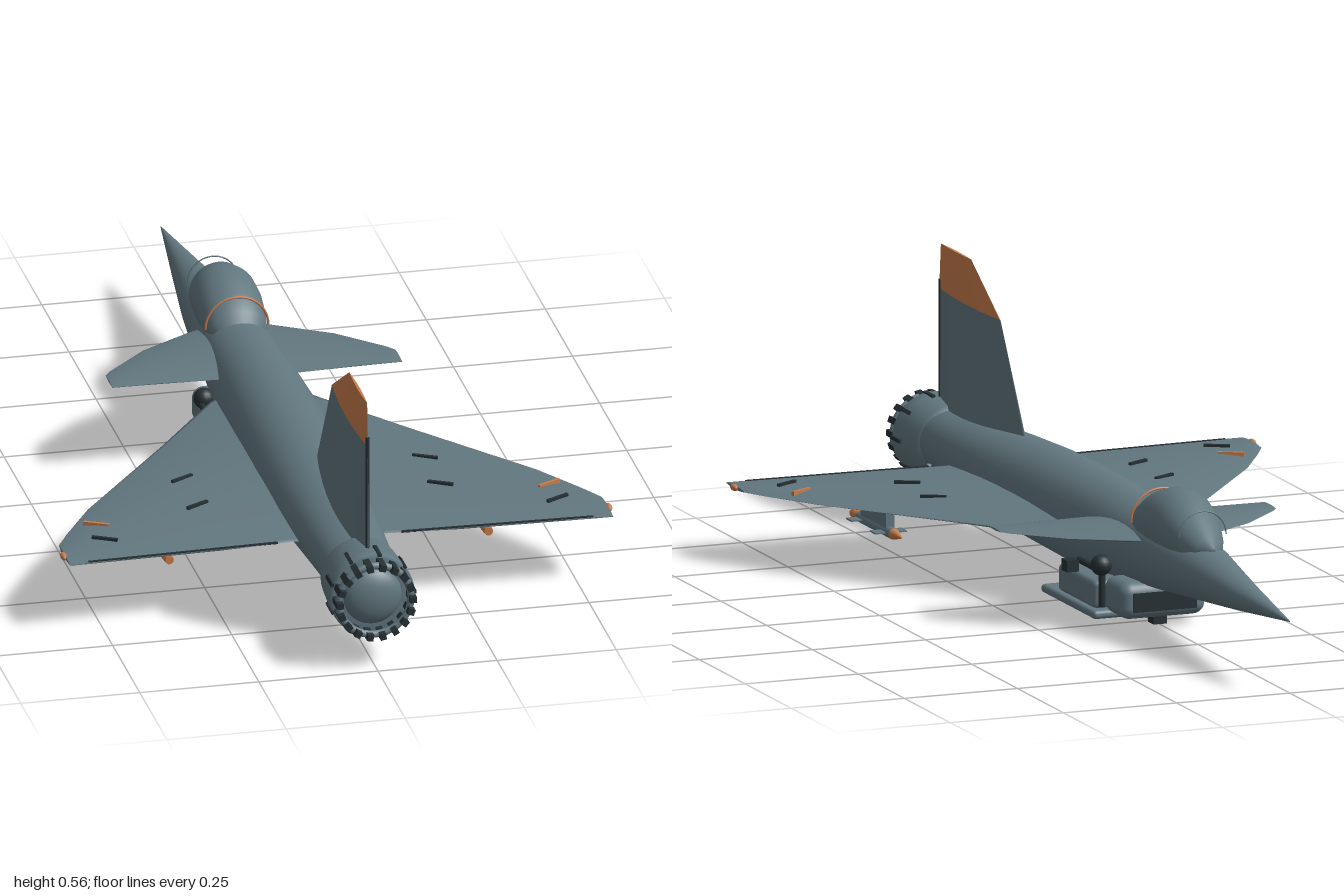
import * as THREE from 'three';
import { RoundedBoxGeometry } from 'three/addons/geometries/RoundedBoxGeometry.js';

const paint = (name, color) => {
  const m = new THREE.MeshStandardMaterial({ color });
  m.name = name;
  return m;
};

// Skin a list of closed rings of points, with flat end caps
function skin(rings) {
  const n = rings[0].length, pos = [], idx = [];
  rings.forEach(r => r.forEach(p => pos.push(...p)));
  for (let i = 0; i < rings.length - 1; i++)
    for (let j = 0; j < n; j++) {
      const a = i * n + j, b = i * n + (j + 1) % n;
      idx.push(a, b, b + n, a, b + n, a + n);
    }
  [rings[0], rings[rings.length - 1]].forEach((r, end) => {
    const base = pos.length / 3;
    r.forEach(p => pos.push(...p));
    for (let j = 1; j < n - 1; j++)
      idx.push(base, base + (end ? j : j + 1), base + (end ? j + 1 : j));
  });
  // Turn the faces outward if the rings ran the other way
  const v = i => new THREE.Vector3(pos[i * 3], pos[i * 3 + 1], pos[i * 3 + 2]);
  let volume = 0;
  for (let i = 0; i < idx.length; i += 3)
    volume += v(idx[i]).dot(v(idx[i + 1]).cross(v(idx[i + 2])));
  if (volume < 0) idx.reverse();
  const g = new THREE.BufferGeometry();
  g.setAttribute('position', new THREE.Float32BufferAttribute(pos, 3));
  g.setIndex(idx);
  g.computeVertexNormals();
  return g;
}

// Lens section: chord from a to b along z, thickness up and down
const lens = (a, b, up, down, n = 24) => Array.from({ length: n }, (_, i) => {
  const t = i / n * Math.PI * 2, s = Math.sin(t);
  return [(a + b) / 2 + (b - a) / 2 * Math.cos(t), s * Math.abs(s) * (s > 0 ? up : down)];
});

export function createModel() {
  const model = new THREE.Group();
  model.name = 'jet';
  const grey = paint('slate grey', 0x62777f);
  const orange = paint('burnt orange', 0xc87c4c);
  const dark = paint('dark metal', 0x263034);

  const add = (name, geo, mat, x = 0, y = 0, z = 0, parent = model) => {
    const m = new THREE.Mesh(geo, mat);
    m.name = name;
    m.position.set(x, y, z);
    parent.add(m);
    return m;
  };
  const rod = (r1, r2, len, sides = 20) => new THREE.CylinderGeometry(r1, r2, len, sides).rotateX(Math.PI / 2);

  // Fuselage and canopy: rows of z, half width, bottom, top
  const body = rows => skin(rows.map(([z, w, y0, y1]) => Array.from({ length: 40 }, (_, i) => {
    const t = i / 40 * Math.PI * 2;
    return [w * Math.cos(t), (y0 + y1) / 2 + (y1 - y0) / 2 * Math.sin(t), z];
  })));
  add('fuselage', body([
    [-1, 0.001, 0.154, 0.156], [-0.75, 0.034, 0.126, 0.19], [-0.55, 0.06, 0.107, 0.222],
    [-0.35, 0.078, 0.088, 0.243], [-0.1, 0.09, 0.065, 0.257], [0.1, 0.098, 0.053, 0.26],
    [0.3, 0.1, 0.056, 0.257], [0.5, 0.095, 0.074, 0.246], [0.7, 0.083, 0.09, 0.233],
    [0.85, 0.074, 0.1, 0.225]]), grey);
  add('canopy', body([
    [-0.585, 0.004, 0.205, 0.222], [-0.56, 0.03, 0.18, 0.24], [-0.52, 0.048, 0.17, 0.268],
    [-0.47, 0.062, 0.17, 0.3], [-0.42, 0.069, 0.17, 0.314], [-0.37, 0.07, 0.17, 0.309],
    [-0.32, 0.066, 0.17, 0.293], [-0.28, 0.058, 0.18, 0.268], [-0.265, 0.04, 0.19, 0.245]]), grey);

  // Canopy hoops
  add('rearCanopyFrame', new THREE.TorusGeometry(0.066, 0.0025, 6, 32, Math.PI), orange, 0, 0.226, -0.3);
  add('windshieldHoop', new THREE.TorusGeometry(0.052, 0.0015, 6, 32, Math.PI), grey, 0, 0.237, -0.525);

  // Wings and foreplanes: rows of x, leading z, trailing z, up, down
  const panel = (side, y, rows) => skin(rows.map(([x, a, b, up, down]) =>
    lens(a, b, up, down).map(([z, h]) => [side * x, y + h, z])));
  for (const side of [1, -1]) {
    const label = side > 0 ? 'left' : 'right';
    add(label + 'Wing', panel(side, 0.154, [
      [0.05, -0.14, 0.648, 0.022, 0.044], [0.1, -0.1, 0.646, 0.02, 0.04],
      [0.25, 0.105, 0.658, 0.016, 0.027], [0.47, 0.39, 0.664, 0.009, 0.012],
      [0.54, 0.505, 0.666, 0.006, 0.007], [0.57, 0.56, 0.666, 0.004, 0.004]]), grey);
    add(label + 'Foreplane', panel(side, 0.199, [
      [0.04, -0.38, -0.1, 0.017, 0.02], [0.08, -0.36, -0.103, 0.015, 0.018],
      [0.2, -0.285, -0.108, 0.009, 0.01], [0.29, -0.195, -0.11, 0.004, 0.004],
      [0.304, -0.175, -0.11, 0.002, 0.002]]), grey);
    add(label + 'TipLight', new THREE.SphereGeometry(0.007, 12, 8), orange, side * 0.572, 0.154, 0.615).scale.z = 2.2;

    // Vortex strips on the upper skin
    for (const [x, y, z, mat] of [[0.255, 0.169, 0.313, dark], [0.255, 0.17, 0.455, dark],
      [0.475, 0.163, 0.568, dark], [0.475, 0.163, 0.49, orange]]) {
      const s = add(label + 'WingStrip', new THREE.BoxGeometry(0.054, 0.009, 0.007), mat, side * x, y, z);
      s.rotation.y = side * (x > 0.4 ? 0.5 : -0.5);
    }
    // Flap hinge line
    const hinge = add(label + 'FlapHinge', new THREE.BoxGeometry(0.4, 0.004, 0.005), dark, side * 0.33, 0.155, 0.652);
    hinge.rotation.y = -side * 0.03;

    // Missile on a pylon
    const missile = new THREE.Group();
    missile.name = label + 'Missile';
    missile.position.set(side * 0.335, 0.095, 0.42);
    model.add(missile);
    add('missileBody', rod(0.012, 0.012, 0.18), grey, 0, 0, 0, missile);
    add('missileNose', rod(0.012, 0.002, 0.04), orange, 0, 0, -0.11, missile);
    add('missileTail', rod(0.009, 0.012, 0.04), orange, 0, 0, 0.11, missile);
    for (const z of [-0.06, 0.07])
      add('missileFin', new THREE.BoxGeometry(0.07, 0.003, 0.03), grey, 0, 0, z, missile);
    add('pylon', new THREE.BoxGeometry(0.018, 0.045, 0.14), grey, 0, 0.03, 0, missile);

    // Foreplane pivot and strut beside the intake
    add(label + 'Pivot', new THREE.SphereGeometry(0.022, 16, 12), dark, side * 0.092, 0.118, -0.2);
    add(label + 'PivotArm', rod(0.007, 0.007, 0.1, 10), dark, side * 0.1, 0.11, -0.15);
    add(label + 'Strut', new THREE.CylinderGeometry(0.007, 0.007, 0.09, 10), dark, side * 0.09, 0.075, -0.2);
    add(label + 'ArmBracket', new THREE.BoxGeometry(0.026, 0.024, 0.03), dark, side * 0.12, 0.1, -0.1);
  }

  // Tail fin in two paints: rows of y, leading z, trailing z, half thickness
  const fin = rows => skin(rows.map(([y, a, b, h]) => lens(a, b, h, h).map(([z, x]) => [x, y, z])));
  add('tailFin', fin([[0.2, 0.41, 0.912, 0.024], [0.25, 0.44, 0.912, 0.02], [0.465, 0.575, 0.909, 0.009]]), grey);
  add('tailFinTip', fin([[0.465, 0.575, 0.909, 0.009], [0.56, 0.735, 0.9, 0.003]]), orange);
  add('rudderPost', new THREE.CylinderGeometry(0.004, 0.004, 0.25, 8), dark, 0, 0.36, 0.903);

  // Engine nozzle
  const nozzle = new THREE.Group();
  nozzle.name = 'nozzle';
  nozzle.position.set(0, 0.152, 0);
  model.add(nozzle);
  const profile = [[0.07, 0.825], [0.083, 0.835], [0.089, 0.92], [0.089, 0.945], [0.083, 0.95], [0.06, 0.95]];
  add('collar', new THREE.LatheGeometry(profile.map(([r, z]) => new THREE.Vector2(r, z)), 40).rotateX(Math.PI / 2),
    new THREE.MeshStandardMaterial().copy(grey), 0, 0, 0, nozzle).material = grey;
  add('exhaustRing', new THREE.TorusGeometry(0.076, 0.008, 8, 40), grey, 0, 0, 0.972, nozzle);
  add('exhaustDome', new THREE.SphereGeometry(0.062, 32, 16), grey, 0, 0, 0.945, nozzle).scale.z = 0.5;
  for (let i = 0; i < 18; i++) {
    const t = i / 18 * Math.PI * 2;
    const petal = add('petal', new THREE.BoxGeometry(0.014, 0.013, 0.06), dark,
      0.077 * Math.cos(t), 0.077 * Math.sin(t), 0.962, nozzle);
    petal.rotation.z = t;
    if (i % 2 === 0) {
      const link = add('nozzleLink', new THREE.BoxGeometry(0.006, 0.008, 0.05), dark,
        0.089 * Math.cos(t), 0.089 * Math.sin(t), 0.925, nozzle);
      link.rotation.z = t;
    }
  }

  // Belly intake
  add('intakeDuct', new RoundedBoxGeometry(0.2, 0.06, 0.2, 3, 0.012), grey, 0, 0.05, -0.08);
  add('intakeFloor', new RoundedBoxGeometry(0.222, 0.018, 0.29, 3, 0.008), grey, 0, 0.014, -0.06);
  add('intakeLip', new RoundedBoxGeometry(0.19, 0.078, 0.11, 4, 0.025), grey, 0, 0.062, -0.265);
  add('intakeMouth', new THREE.BoxGeometry(0.14, 0.04, 0.006), dark, 0, 0.06, -0.319);
  add('bellySkid', new THREE.BoxGeometry(0.03, 0.02, 0.03), dark, 0, 0.016, -0.28);
  return model;
}
